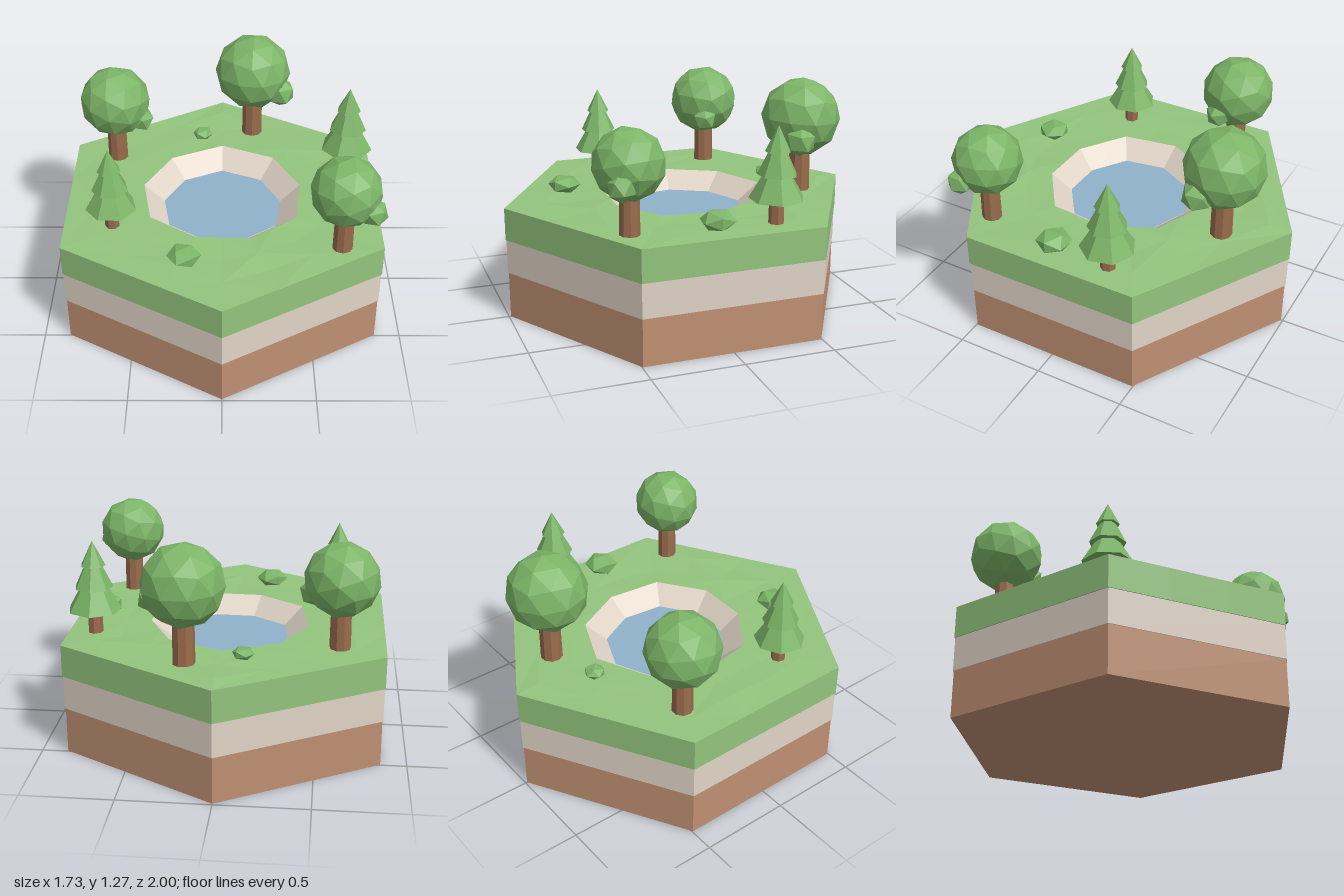
import * as THREE from 'three';

const mat = (color, extra = {}) => new THREE.MeshStandardMaterial({ color, flatShading: true, ...extra });
const GROUND = 0.63, WATER = 0.535, STEPS = 18;

// small seeded generator for the uneven grass
let seed = 7;
const rand = () => (seed = (seed * 16807) % 2147483647) / 2147483647;

// regular or irregular polygon outline, sampled at STEPS points, starting at -z
function outline(radii, y, scale = 1) {
  const n = radii.length;
  const corner = (i) => {
    const a = (i % n) / n * Math.PI * 2, r = radii[i % n] * scale;
    return new THREE.Vector3(r * Math.sin(a), y, -r * Math.cos(a));
  };
  return Array.from({ length: STEPS }, (_, j) => {
    const f = j * n / STEPS, i = Math.floor(f);
    return corner(i).lerp(corner(i + 1), f - i);
  });
}

// skin a list of rings, running upward on the outside
function loft(rings) {
  const pos = [];
  const push = (...pts) => pts.forEach((p) => pos.push(p.x, p.y, p.z));
  for (let k = 0; k < rings.length - 1; k++) {
    for (let j = 0; j < STEPS; j++) {
      const m = (j + 1) % STEPS;
      const a = rings[k][j], b = rings[k][m], c = rings[k + 1][j], d = rings[k + 1][m];
      if ((j + k) % 2) push(a, c, b, b, c, d);
      else push(a, c, d, a, d, b);
    }
  }
  const g = new THREE.BufferGeometry();
  g.setAttribute('position', new THREE.Float32BufferAttribute(pos, 3));
  g.computeVertexNormals();
  return g;
}

export function createModel() {
  const root = new THREE.Group();
  const grass = mat(0x93c47d), rock = mat(0xe0d4c6), soil = mat(0xbf9072);
  const water = mat(0x8fb2cb), leaf = mat(0x7cb567), bark = mat(0x9a6c4c);

  const add = (parent, name, geo, material, x = 0, y = 0, z = 0) => {
    const m = new THREE.Mesh(geo, material);
    m.name = name;
    m.position.set(x, y, z);
    parent.add(m);
    return m;
  };

  // hexagonal ground layers
  add(root, 'soilLayer', new THREE.CylinderGeometry(0.99, 0.99, 0.26, 6), soil, 0, 0.13, 0);
  add(root, 'rockLayer', new THREE.CylinderGeometry(0.995, 0.995, 0.19, 6), rock, 0, 0.355, 0);

  // grass layer with a gently uneven top around the pond opening
  const hex = Array(6).fill(1);
  const rimRadii = [0.49, 0.47, 0.45, 0.47, 0.44, 0.43, 0.46, 0.455, 0.465];
  const edge = outline(hex, GROUND), rim = outline(rimRadii, GROUND + 0.002);
  const rings = [outline(hex, 0.45, 0.95), outline(hex, 0.45), edge];
  for (const t of [0.34, 0.67]) {
    rings.push(edge.map((p, j) => {
      const q = p.clone().lerp(rim[j], t + (rand() - 0.5) * 0.16);
      q.y = GROUND + (rand() - 0.4) * 0.014;
      return q;
    }));
  }
  rings.push(rim);
  add(root, 'grassLayer', loft(rings), grass);

  // pond bank and water
  add(root, 'pondBank', loft([rim, outline(rimRadii, WATER - 0.01, 0.73)]), rock);
  const pool = outline(rimRadii, WATER, 0.745);
  const middle = pool.map(() => new THREE.Vector3(0, WATER, 0));
  add(root, 'pondWater', loft([pool, middle]), water);

  // round trees: position, crown height and radius, trunk radius, side tuft offset and radius
  const roundTrees = [
    [-0.62, -0.385, 1.01, 0.203, 0.058, [0.15, -0.09, 0.05], 0.075],
    [0.18, -0.665, 1.05, 0.222, 0.061, [0.165, -0.1, 0.075], 0.088],
    [0.64, 0.49, 0.998, 0.19, 0.055, [0.14, -0.08, 0.08], 0.075],
  ];
  roundTrees.forEach(([x, z, y, r, tr, tuft, tuftR], i) => {
    const tree = new THREE.Group();
    tree.name = 'roundTree';
    tree.position.set(x, 0, z);
    root.add(tree);
    const h = y - r * 0.7 - GROUND + 0.02;
    add(tree, 'trunk', new THREE.CylinderGeometry(tr * 0.95, tr, h, 9), bark, 0, GROUND - 0.01 + h / 2, 0);
    add(tree, 'crown', new THREE.IcosahedronGeometry(r, 1), leaf, 0, y, 0).rotation.set(0.3, 0.5 + i, 0.2);
    add(tree, 'sideTuft', new THREE.IcosahedronGeometry(tuftR, 0), leaf, tuft[0], y + tuft[1], tuft[2])
      .rotation.set(0.2, 0.4 + i, 0.3);
  });

  // pines: three stacked seven-sided cones [base height, radius, height]
  const tiers = [[0.127, 0.14, 0.24], [0.247, 0.1, 0.21], [0.362, 0.064, 0.13]];
  for (const [x, z, s] of [[-0.6, 0.3, 1], [0.72, -0.28, 1.06]]) {
    const pine = new THREE.Group();
    pine.name = 'pineTree';
    pine.position.set(x, GROUND, z);
    pine.scale.setScalar(s);
    pine.rotation.y = Math.PI;
    root.add(pine);
    add(pine, 'trunk', new THREE.CylinderGeometry(0.037, 0.04, 0.2, 7), bark, 0, 0.09, 0);
    for (const [y, r, h] of tiers) add(pine, 'foliageTier', new THREE.ConeGeometry(r, h, 7), leaf, 0, y + h / 2, 0);
  }

  // low bushes
  const bushes = [[-0.2, 0.615, 0.092, 0.052], [0.72, 0.045, 0.098, 0.06], [-0.12, -0.585, 0.06, 0.036]];
  bushes.forEach(([x, z, r, h], i) => {
    const bush = add(root, 'bush', new THREE.IcosahedronGeometry(r, 0), leaf, x, GROUND + h * 0.88, z);
    bush.scale.y = h / r;
    bush.rotation.y = 0.6 + i * 0.9;
  });

  return root;
}
